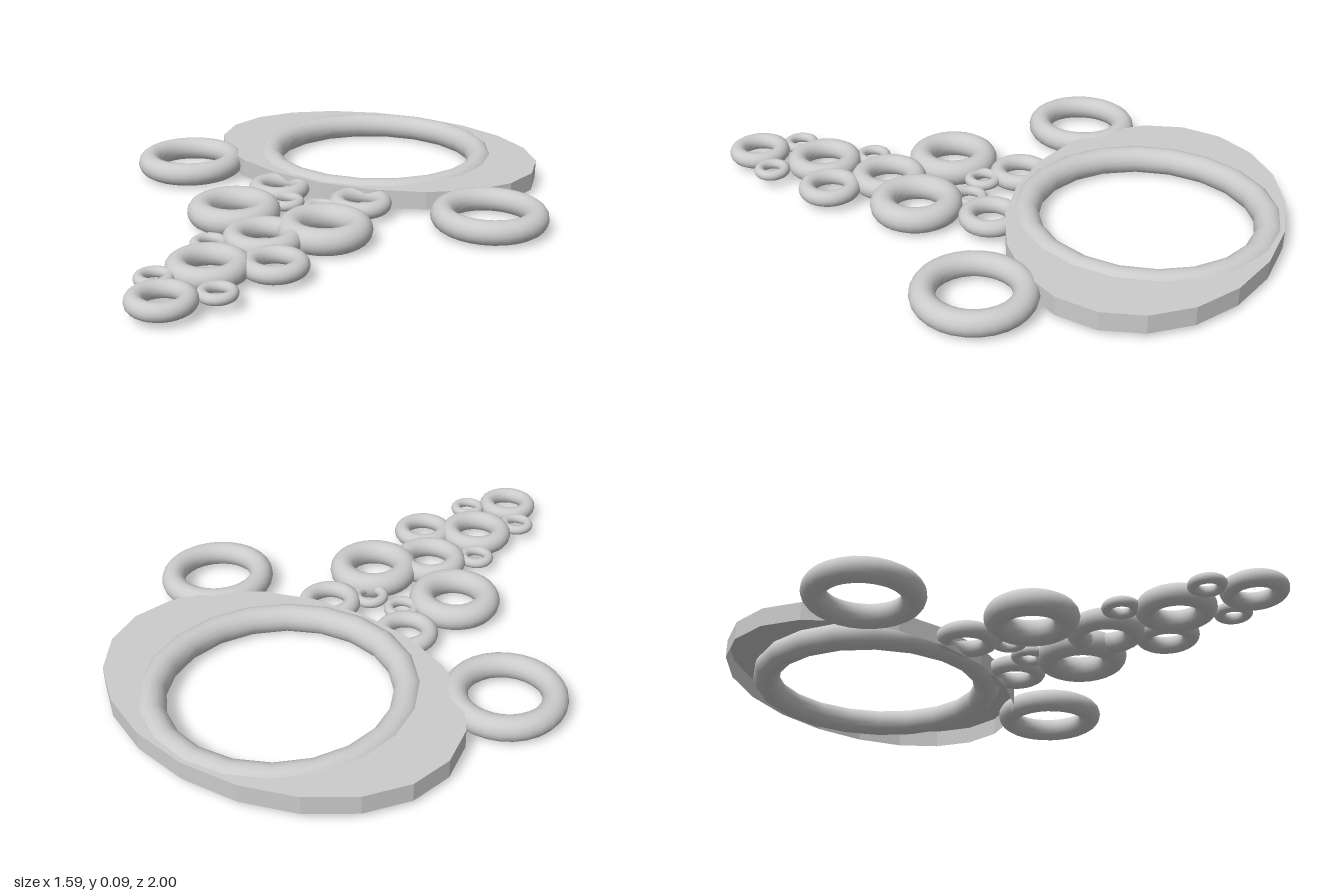
import * as THREE from 'three';

const MID = 0.049; // shared height of all ring centres

export function createModel() {
  const group = new THREE.Group();
  const material = new THREE.MeshStandardMaterial({ color: 0xcccccc });
  const plateMaterial = new THREE.MeshStandardMaterial({
    color: 0xcccccc, flatShading: true, side: THREE.DoubleSide,
  });

  // A ring lying flat, given by its outer and inner radius
  function addRing(name, x, z, outer, inner, segments = 28) {
    const geometry = new THREE.TorusGeometry((outer + inner) / 2, (outer - inner) / 2, 16, segments);
    geometry.rotateX(-Math.PI / 2);
    const ring = new THREE.Mesh(geometry, material);
    ring.name = name;
    ring.position.set(x, MID, z);
    group.add(ring);
  }

  // Oval plate: twenty-sided top with a round opening, and a skirt open below
  const cx = -0.015, cz = -0.55, rx = 0.625, rz = 0.45;
  const top = 0.082, bottom = 0.018;
  const plate = new THREE.Group();
  plate.name = 'ovalPlate';
  plate.position.set(cx, 0, cz);

  const outline = [];
  for (let i = 0; i < 20; i++) {
    const a = (i / 20) * Math.PI * 2;
    outline.push(new THREE.Vector2(rx * Math.cos(a), rz * Math.sin(a)));
  }
  const shape = new THREE.Shape(outline);
  shape.holes.push(new THREE.Path().absarc(0, 0, 0.4, 0, Math.PI * 2, true));
  const face = new THREE.Mesh(new THREE.ShapeGeometry(shape, 20).rotateX(-Math.PI / 2), plateMaterial);
  face.name = 'plateTop';
  face.position.y = top;

  const skirt = new THREE.Mesh(
    new THREE.CylinderGeometry(1, 1, top - bottom, 20, 1, true).scale(rx, 1, rz), plateMaterial);
  skirt.name = 'plateSkirt';
  skirt.position.y = (top + bottom) / 2;
  plate.add(face, skirt);
  group.add(plate);

  // Main ring set into the plate, and the two side rings
  addRing('mainRing', cx, cz, 0.449, 0.355, 20);
  addRing('leftSideRing', 0.59, -0.165, 0.198, 0.116);
  addRing('rightSideRing', -0.6, -0.165, 0.198, 0.116);

  // Hanging cluster, by ring size: outer and inner radius, then centres
  const cluster = [
    ['largeClusterRing', 0.158, 0.07, [[-0.185, 0.2], [0.16, 0.2]]],
    ['mediumClusterRing', 0.132, 0.06, [[0.025, 0.362], [-0.01, 0.63]]],
    ['smallClusterRing', 0.108, 0.05, [[-0.16, -0.065], [0.16, -0.065], [0.16, 0.525], [0, 0.888]]],
    ['tinyClusterRing', 0.063, 0.028,
      [[-0.07, 0.045], [0.065, 0.045], [-0.103, 0.48], [-0.105, 0.775], [0.115, 0.775]]],
  ];
  for (const [name, outer, inner, centres] of cluster) {
    for (const [x, z] of centres) addRing(name, x, z, outer, inner);
  }

  return group;
}
